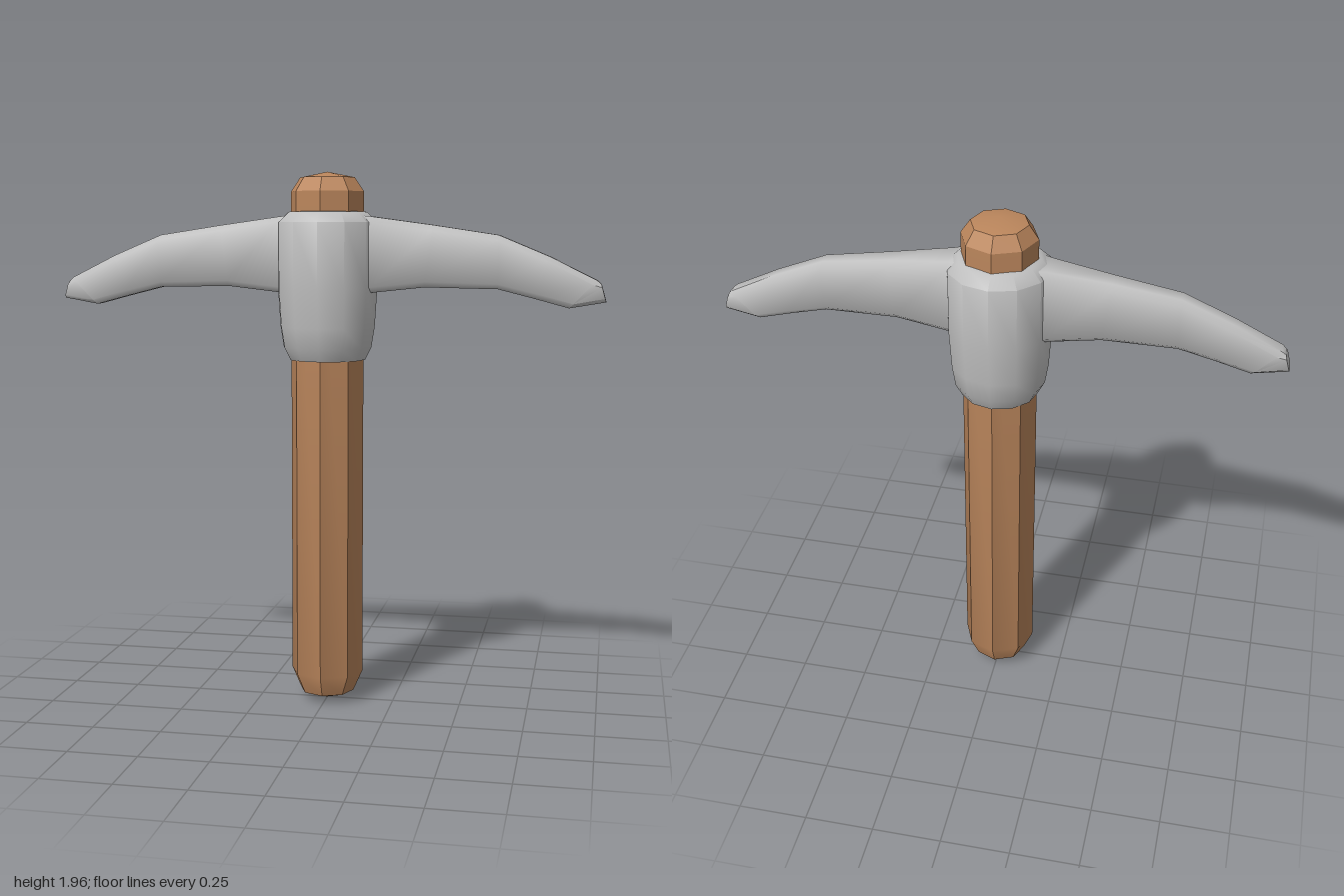
import * as THREE from 'three';
import { toCreasedNormals } from 'three/addons/utils/BufferGeometryUtils.js';

const wood = new THREE.MeshStandardMaterial({ color: 0xbb865c });
const steel = new THREE.MeshStandardMaterial({ color: 0xbfbfbf });
wood.name = 'wood';
steel.name = 'steel';

function turned(name, profile, sides, crease, material) {
  const points = profile.map(([r, y]) => new THREE.Vector2(r, y));
  const mesh = new THREE.Mesh(toCreasedNormals(new THREE.LatheGeometry(points, sides), crease), material);
  mesh.name = name;
  return mesh;
}

// Curved, bevelled blade lofted along +x: [xTop, yTop, xBottom, yBottom, halfThickness, bevel]
function bladeGeometry() {
  const sections = [
    [0.08, 1.805, 0.08, 1.52, 0.1, 0.02],
    [0.17, 1.795, 0.17, 1.525, 0.072, 0.02],
    [0.39, 1.765, 0.36, 1.545, 0.052, 0.02],
    [0.62, 1.73, 0.62, 1.54, 0.043, 0.018],
    [0.8, 1.655, 0.75, 1.507, 0.041, 0.018],
    [0.965, 1.573, 0.87, 1.475, 0.039, 0.015],
    [0.98, 1.56, 0.998, 1.497, 0.032, 0.012],
  ];
  const pos = [], index = [], n = 8;
  for (const [xt, yt, xb, yb, h, b] of sections) {
    const k = b / (yt - yb);
    // ring of [height fraction, z], running from the top towards +z
    const ring = [[1, h - b], [1 - k, h], [k, h], [0, h - b], [0, b - h], [k, -h], [1 - k, -h], [1, b - h]];
    for (const [t, z] of ring) pos.push(xb + (xt - xb) * t, yb + (yt - yb) * t, z);
  }
  for (let i = 0; i < sections.length - 1; i++) {
    for (let j = 0; j < n; j++) {
      const a = i * n + j, b = i * n + (j + 1) % n;
      index.push(a, b, a + n, b, b + n, a + n);
    }
  }
  const end = (sections.length - 1) * n;
  for (let j = 1; j < n - 1; j++) index.push(end, end + j, end + j + 1);
  const geometry = new THREE.BufferGeometry();
  geometry.setAttribute('position', new THREE.Float32BufferAttribute(pos, 3));
  geometry.setIndex(index);
  return toCreasedNormals(geometry, 0.85);
}

export function createModel() {
  const model = new THREE.Group();
  model.name = 'pickaxe';

  // Eight-sided handle with domed ends
  model.add(turned('handle', [
    [0, 0], [0.1, 0.033], [0.134, 0.11], [0.134, 1.885], [0.1, 1.935], [0, 1.955],
  ], 8, 0.5, wood));

  // Metal socket around the handle
  model.add(turned('socket', [
    [0.115, 1.28], [0.14, 1.28], [0.163, 1.325], [0.175, 1.4],
    [0.184, 1.54], [0.184, 1.775], [0.145, 1.812], [0.115, 1.815],
  ], 12, 0.8, steel));

  // Matching blades on both sides
  const blade = bladeGeometry();
  for (const side of ['left', 'right']) {
    const mesh = new THREE.Mesh(blade, steel);
    mesh.name = side + 'Blade';
    if (side === 'right') mesh.rotation.y = Math.PI;
    model.add(mesh);
  }
  return model;
}
